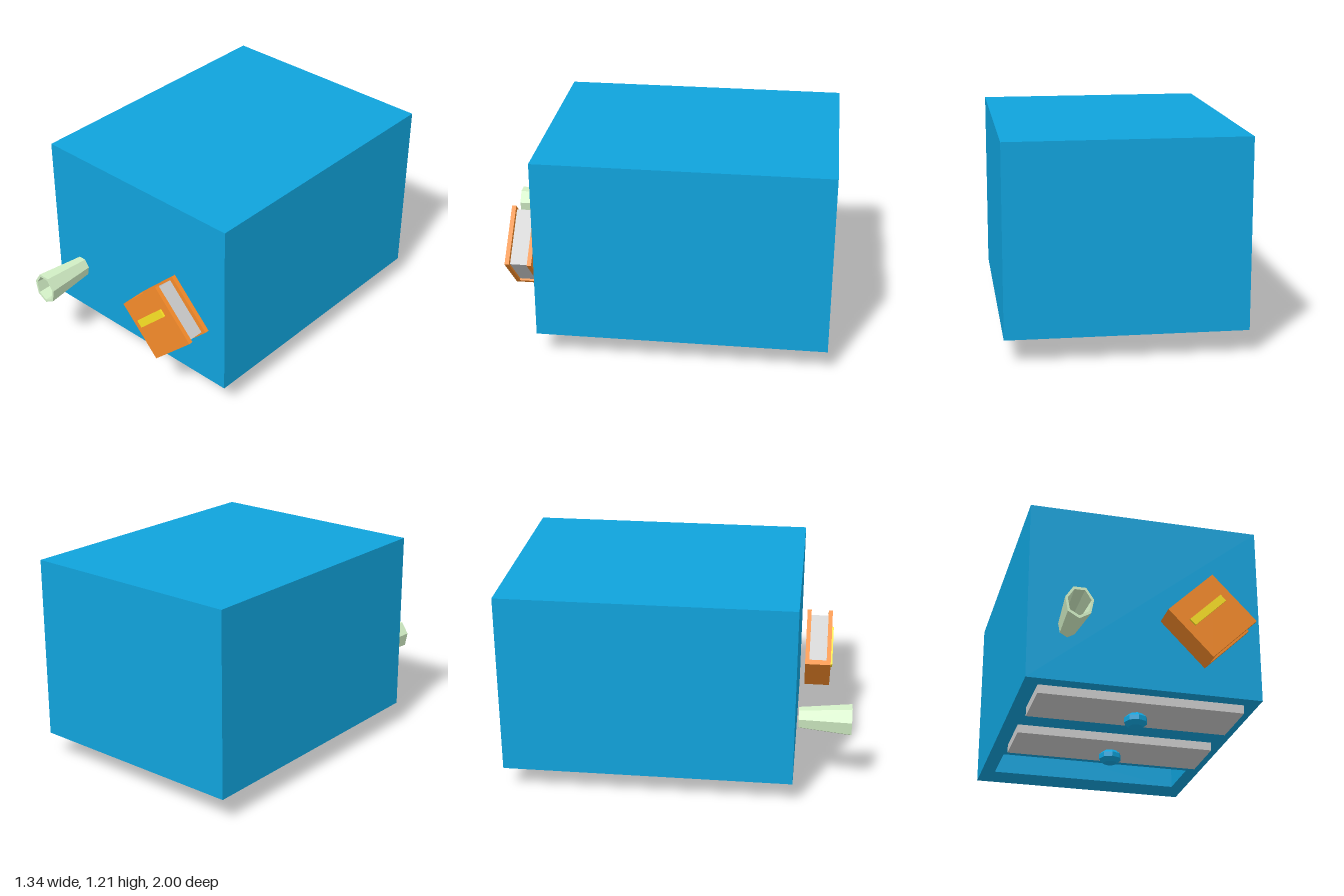
import * as THREE from 'three';

const mat = (color) => new THREE.MeshStandardMaterial({ color, flatShading: true });
const BLUE = mat(0x10a3dc), GREY = mat(0xcccccc), ORANGE = mat(0xf58b2a);
const YELLOW = mat(0xfae125), GREEN = mat(0xd5f2c8);

function add(parent, name, geometry, material, x = 0, y = 0, z = 0) {
  const mesh = new THREE.Mesh(geometry, material);
  mesh.name = name;
  mesh.position.set(x, y, z);
  parent.add(mesh);
  return mesh;
}

const box = (w, h, d) => new THREE.BoxGeometry(w, h, d);

// Box without its underside; inward turns the faces to the inside and drops the ceiling too
function openBox(w, h, d, inward = false) {
  const geometry = box(w, h, d);
  const index = Array.from(geometry.index.array);
  const kept = [...index.slice(0, inward ? 12 : 18), ...index.slice(24)];
  geometry.clearGroups();
  geometry.setIndex(inward ? kept.reverse() : kept);
  if (inward) {
    const normal = geometry.attributes.normal;
    for (let i = 0; i < normal.array.length; i++) normal.array[i] *= -1;
  }
  return geometry;
}

function rectangle(path, x0, z0, x1, z1) {
  path.moveTo(x0, z0).lineTo(x1, z0).lineTo(x1, z1).lineTo(x0, z1).closePath();
  return path;
}

// Cabinet lying on its face, with one empty drawer slot underneath
function makeCabinet() {
  const cabinet = new THREE.Group();
  cabinet.name = 'cabinet';
  const bottom = 0.14, slotDepth = 0.22, slotZ = -0.65;
  add(cabinet, 'body', openBox(1.34, 1.07, 1.68), BLUE, 0, bottom + 0.535, -0.16);

  const face = rectangle(new THREE.Shape(), -0.67, -1, 0.67, 0.68);
  face.holes.push(rectangle(new THREE.Path(), -0.585, slotZ - 0.16, 0.585, slotZ + 0.16));
  add(cabinet, 'cabinetFace', new THREE.ShapeGeometry(face).rotateX(Math.PI / 2), BLUE, 0, bottom, 0);

  add(cabinet, 'slotWalls', openBox(1.17, slotDepth, 0.32, true), BLUE, 0, bottom + slotDepth / 2, slotZ);
  add(cabinet, 'slotBack', new THREE.PlaneGeometry(1.17, 0.32).rotateX(Math.PI / 2), GREY,
    0, bottom + slotDepth, slotZ);

  // Two drawers with faceted knobs
  for (const z of [0.43, -0.158]) {
    add(cabinet, 'drawerFront', box(1.175, 0.05, 0.336), GREY, 0, 0.115, z);
    const knob = add(cabinet, 'knob', new THREE.SphereGeometry(0.07, 8, 5), BLUE, 0, 0.045, z + 0.02);
    knob.scale.y = 0.045 / 0.07;
  }
  return cabinet;
}

// Book: spine on its local left, covers facing front and back
function makeBook() {
  const book = new THREE.Group();
  book.name = 'book';
  for (const z of [-0.065, 0.065]) add(book, 'cover', box(0.36, 0.36, 0.025), ORANGE, 0, 0, z);
  add(book, 'spine', box(0.03, 0.36, 0.105), ORANGE, -0.165, 0, 0);
  add(book, 'pages', box(0.3, 0.335, 0.105), GREY, 0, 0, 0);
  add(book, 'titleLabel', box(0.25, 0.045, 0.012), YELLOW, -0.004, 0.038, 0.083);
  book.position.set(0.33, 0.54, 0.7925);
  book.rotation.z = 0.766;
  return book;
}

// Seven-sided cup on its side, mouth to the front
function makeCup() {
  const profile = [[0, 0], [0.053, 0], [0.08, 0.303], [0.066, 0.303], [0.048, 0.03], [0, 0.03]];
  const geometry = new THREE.LatheGeometry(profile.map(([r, h]) => new THREE.Vector2(r, h)), 7);
  geometry.rotateX(Math.PI / 2);
  const cup = new THREE.Group();
  add(cup, 'cupBody', geometry, GREEN);
  cup.name = 'cup';
  cup.position.set(-0.45, 0.455, 0.697);
  cup.scale.y = 1.21;
  return cup;
}

export function createModel() {
  const model = new THREE.Group();
  model.name = 'toppledCabinet';
  model.add(makeCabinet(), makeBook(), makeCup());
  return model;
}
